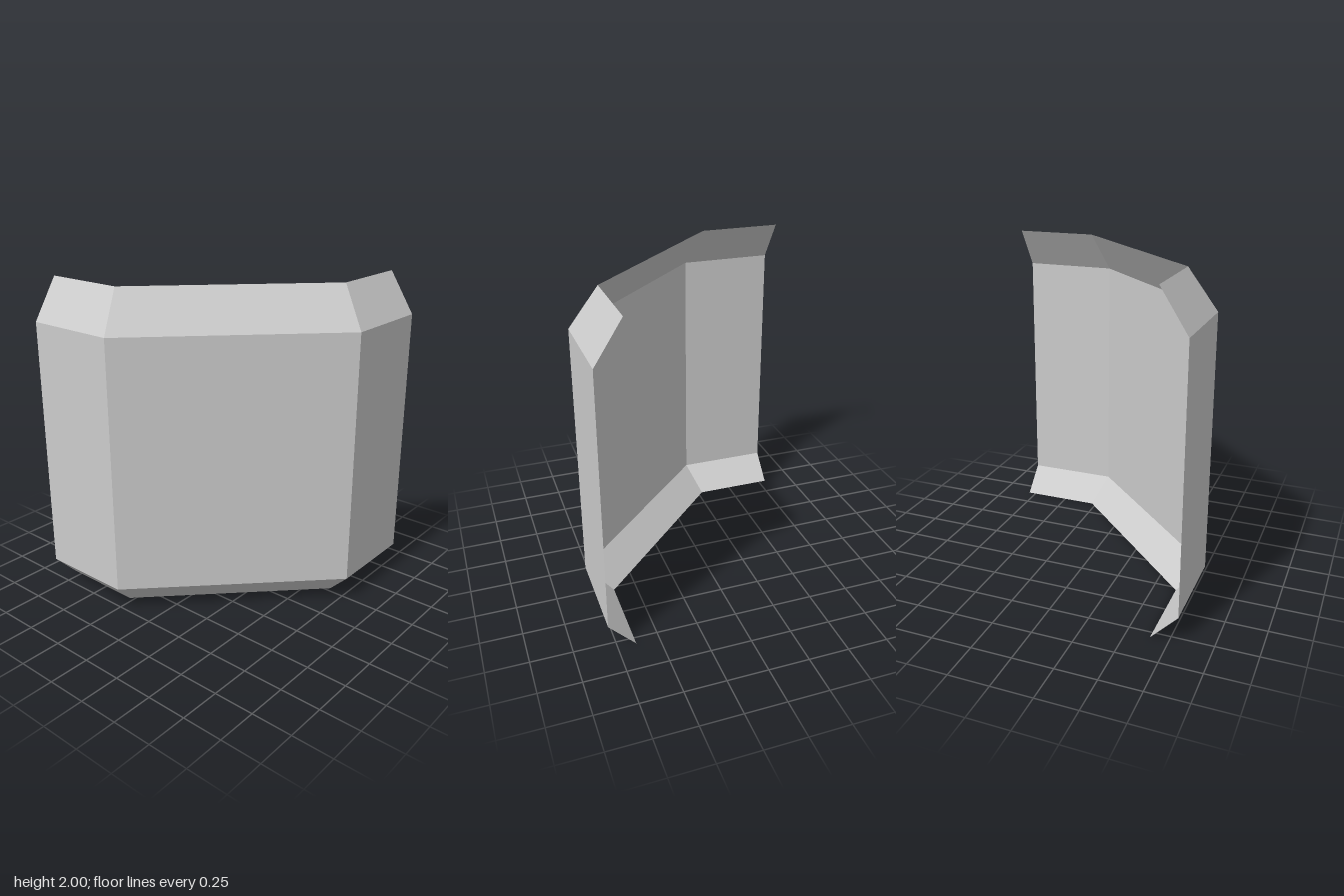
import * as THREE from 'three';

// Plan outlines [x, z] of the folded sheet: outer wall and inset flange edges
const OUTER = [[-0.8, -0.8], [-0.8, -0.21], [0.21, 0.8], [0.8, 0.8]];
const INNER = [[-0.64, -0.8], [-0.64, -0.28], [0.28, 0.64], [0.8, 0.64]];

// Flat-faced strip joining a lower outline to an upper one
function strip(name, low, y0, high, y1, material) {
  const positions = [];
  for (let i = 0; i < low.length - 1; i++) {
    const a = [low[i][0], y0, low[i][1]];
    const b = [low[i + 1][0], y0, low[i + 1][1]];
    const c = [high[i + 1][0], y1, high[i + 1][1]];
    const d = [high[i][0], y1, high[i][1]];
    positions.push(...a, ...b, ...c, ...a, ...c, ...d);
  }
  const geometry = new THREE.BufferGeometry();
  geometry.setAttribute('position', new THREE.Float32BufferAttribute(positions, 3));
  geometry.computeVertexNormals();
  const mesh = new THREE.Mesh(geometry, material);
  mesh.name = name;
  return mesh;
}

export function createModel() {
  const group = new THREE.Group();
  group.name = 'angledCornerPanel';
  const sheet = new THREE.MeshStandardMaterial({ color: 0xcccccc, side: THREE.DoubleSide });
  sheet.name = 'light grey';

  // Upright wall with sloping flanges folded inward above and below
  group.add(
    strip('bottomFlange', INNER, 0, OUTER, 0.165, sheet),
    strip('wall', OUTER, 0.165, OUTER, 1.75, sheet),
    strip('topFlange', OUTER, 1.75, INNER, 2, sheet),
  );
  return group;
}
